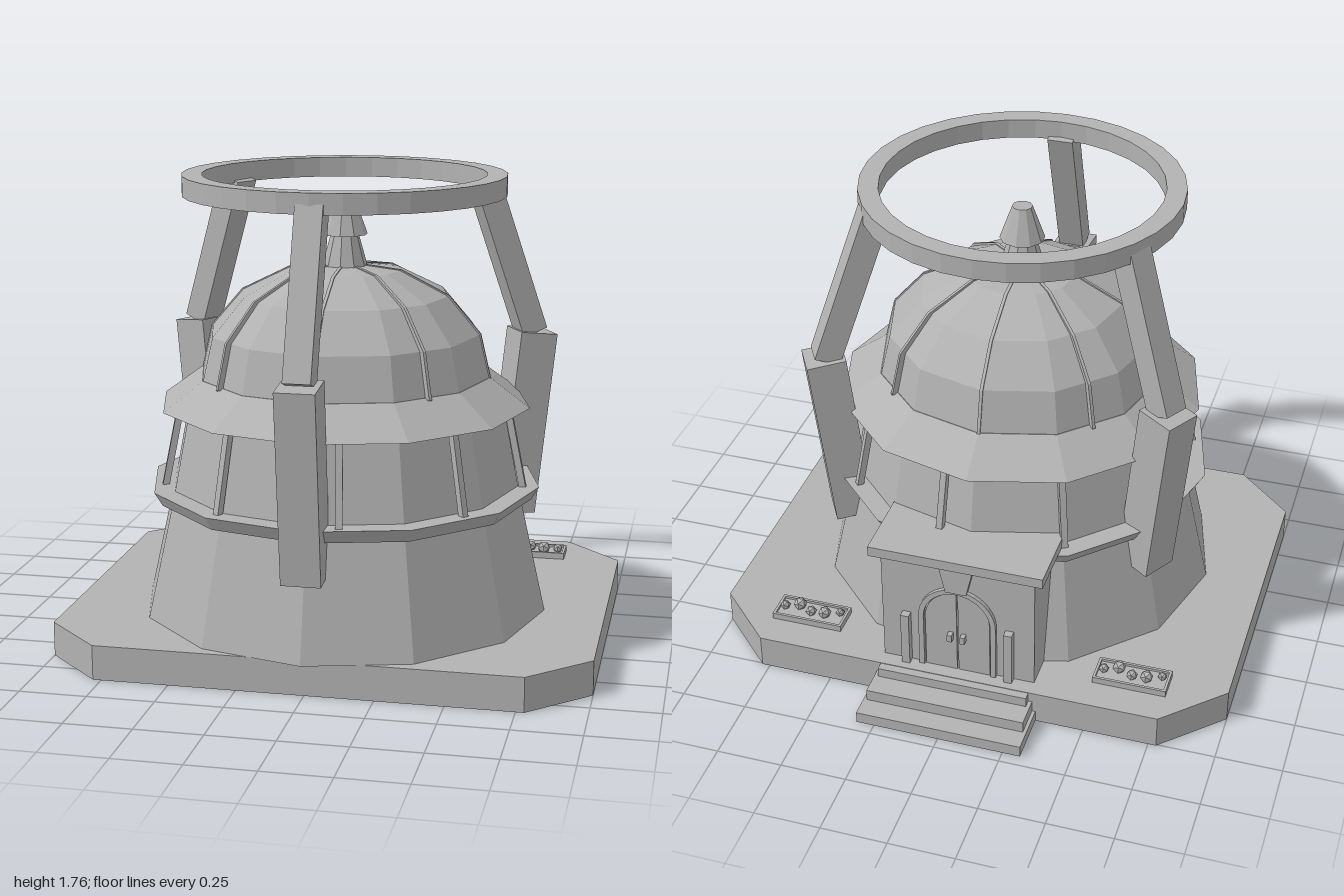
import * as THREE from 'three';

const CZ = 0.125; // tower axis
const grey = new THREE.MeshStandardMaterial({ color: 0xb2b2b2, flatShading: true, side: THREE.DoubleSide });
grey.name = 'stone grey';

function add(parent, name, geometry, x = 0, y = 0, z = 0) {
  const mesh = new THREE.Mesh(geometry, grey);
  mesh.name = name;
  mesh.position.set(x, y, z);
  parent.add(mesh);
  return mesh;
}

// box given by its limits
function block(parent, name, x0, x1, y0, y1, z0, z1) {
  return add(parent, name, new THREE.BoxGeometry(x1 - x0, y1 - y0, z1 - z0),
    (x0 + x1) / 2, (y0 + y1) / 2, (z0 + z1) / 2);
}

const pts = (list) => list.map(([a, b]) => new THREE.Vector2(a, b));
const lathe = (list, sides) => new THREE.LatheGeometry(pts(list), sides);
const extrude = (shape, depth) =>
  new THREE.ExtrudeGeometry(shape, { depth, bevelEnabled: false, curveSegments: 10 });

// box running between two (radius, height) points in the plane x = 0
function beam(parent, name, [r0, y0], [r1, y1], width, thick) {
  const mesh = add(parent, name, new THREE.BoxGeometry(width, Math.hypot(r1 - r0, y1 - y0), thick),
    0, (y0 + y1) / 2, (r0 + r1) / 2);
  mesh.rotation.x = Math.atan2(r1 - r0, y1 - y0);
}

function spoke(parent, name, angle) {
  const g = new THREE.Group();
  g.name = name;
  g.rotation.y = angle;
  parent.add(g);
  return g;
}

// round-headed outline
function arch(half, spring) {
  const s = new THREE.Shape();
  s.moveTo(half, 0);
  s.lineTo(half, spring);
  s.absarc(0, spring, half, 0, Math.PI, false);
  s.lineTo(-half, 0);
  s.closePath();
  return s;
}

function makeBase(root) {
  const outline = pts([[-0.78, -0.84], [0.78, -0.84], [1, -0.63], [1, 0.54],
    [0.78, 0.755], [-0.78, 0.755], [-1, 0.54], [-1, -0.63]]);
  const deck = add(root, 'baseDeck', new THREE.ShapeGeometry(new THREE.Shape(outline)), 0, 0.13, 0);
  deck.rotation.x = -Math.PI / 2;
  // skirt walls, open below
  const pos = [];
  outline.forEach((a, i) => {
    const b = outline[(i + 1) % outline.length];
    pos.push(a.x, 0, -a.y, b.x, 0, -b.y, b.x, 0.13, -b.y, a.x, 0, -a.y, b.x, 0.13, -b.y, a.x, 0.13, -a.y);
  });
  const skirt = new THREE.BufferGeometry();
  skirt.setAttribute('position', new THREE.Float32BufferAttribute(pos, 3));
  skirt.computeVertexNormals();
  add(root, 'baseSkirt', skirt);
  // entrance steps
  block(root, 'topStep', -0.29, 0.29, 0, 0.128, -0.787, -0.74);
  block(root, 'middleStep', -0.305, 0.305, 0, 0.09, -0.875, -0.74);
  block(root, 'bottomStep', -0.318, 0.318, 0, 0.045, -0.955, -0.74);
}

function makeTower(root) {
  const tower = new THREE.Group();
  tower.name = 'tower';
  tower.position.z = CZ;
  root.add(tower);

  add(tower, 'towerWall', lathe([[0.77, 0.13], [0.665, 0.59], [0.6, 0.92]], 12));
  add(tower, 'beltLedge', lathe([[0.66, 0.56], [0.71, 0.56], [0.74, 0.61], [0.655, 0.61]], 12));
  add(tower, 'eaveRoof', lathe([[0.58, 0.91], [0.7, 0.91], [0.55, 1.02], [0.5, 1.02]], 12));

  const dome = [[0.55, 1.01], [0.51, 1.18], [0.39, 1.32], [0.21, 1.41], [0, 1.435]];
  add(tower, 'dome', lathe(dome, 12));
  add(tower, 'spire', lathe([[0.085, 1.42], [0.052, 1.54], [0.085, 1.54], [0.038, 1.67], [0, 1.67]], 10));

  // dome ribs
  const ribShape = new THREE.Shape(pts([[0, 1.01], ...dome.map(([r, y]) => [r && r + 0.003, y + 0.003])]));
  for (let i = 0; i < 8; i++) {
    const rib = spoke(tower, 'domeRib', i * Math.PI / 4);
    add(rib, 'rib', extrude(ribShape, 0.012), 0, 0, -0.006);
  }

  // posts of the upper gallery
  for (let i = 0; i < 9; i++) {
    const post = spoke(tower, 'galleryPost', Math.PI / 2 + i * Math.PI * 2 / 9);
    beam(post, 'post', [0.68, 0.6], [0.615, 0.92], 0.025, 0.025);
  }

  // three outer legs carrying the ring
  for (let i = 0; i < 3; i++) {
    const leg = spoke(tower, 'ringSupport', i * Math.PI * 2 / 3);
    beam(leg, 'lowerLeg', [0.682, 0.425], [0.762, 1.13], 0.145, 0.15);
    beam(leg, 'upperArm', [0.755, 1.13], [0.55, 1.71], 0.1, 0.1);
  }
  add(tower, 'topRing', lathe([[0.525, 1.69], [0.6, 1.69], [0.6, 1.765], [0.525, 1.765], [0.525, 1.69]], 32));
}

function makePorch(root) {
  block(root, 'porchWalls', -0.295, 0.295, 0.13, 0.61, -0.695, -0.4);
  block(root, 'porchRoof', -0.333, 0.333, 0.61, 0.65, -0.727, -0.4);

  const door = new THREE.Group();
  door.name = 'entrance';
  door.position.set(0, 0.13, -0.695);
  door.rotation.y = Math.PI;
  root.add(door);
  // arched frame
  const frame = arch(0.15, 0.23);
  frame.holes.push(arch(0.13, 0.23));
  add(door, 'doorFrame', extrude(frame, 0.016));
  // door leaves, handles, side columns
  for (const s of [-1, 1]) {
    const leaf = new THREE.Shape();
    leaf.moveTo(0.003, 0);
    leaf.lineTo(0.125, 0);
    leaf.lineTo(0.125, 0.23);
    leaf.absarc(0, 0.23, 0.125, 0, Math.PI / 2 - 0.024, false);
    leaf.closePath();
    const mesh = add(door, 'doorLeaf', extrude(leaf, 0.008));
    if (s < 0) mesh.geometry.rotateY(Math.PI).translate(0, 0, 0.008);
    block(door, 'doorHandle', s * 0.025 - 0.009, s * 0.025 + 0.009, 0.145, 0.175, 0, 0.033);
    block(door, 'sideColumn', s * 0.2 - 0.016, s * 0.2 + 0.016, 0, 0.225, 0, 0.03);
  }
  const key = new THREE.Shape(pts([[-0.04, 0.37], [0.04, 0.37], [0.065, 0.48], [-0.065, 0.48]]));
  add(door, 'keystone', extrude(key, 0.022));
}

function makePlanter(root, side) {
  const planter = new THREE.Group();
  planter.name = side > 0 ? 'leftPlanter' : 'rightPlanter';
  planter.position.set(side * 0.64, 0, -0.57);
  root.add(planter);
  block(planter, 'planterBox', -0.14, 0.14, 0.04, 0.145, -0.06, 0.06);
  // rim
  for (const s of [-1, 1]) {
    block(planter, 'longRim', -0.14, 0.14, 0.14, 0.155, s * 0.055 - 0.005, s * 0.055 + 0.005);
    block(planter, 'shortRim', s * 0.135 - 0.005, s * 0.135 + 0.005, 0.14, 0.155, -0.055, 0.055);
  }
  // low shrubs
  [[-0.11, 0.02, 0.018], [-0.055, -0.005, 0.026], [0, -0.008, 0.022], [0.055, 0.018, 0.027], [0.11, 0, 0.02]]
    .forEach(([x, z, r]) => add(planter, 'shrub', new THREE.IcosahedronGeometry(r, 0), x, 0.143 + r * 0.7, z));
}

export function createModel() {
  const root = new THREE.Group();
  root.name = 'domedTower';
  makeBase(root);
  makeTower(root);
  makePorch(root);
  makePlanter(root, 1);
  makePlanter(root, -1);
  return root;
}
